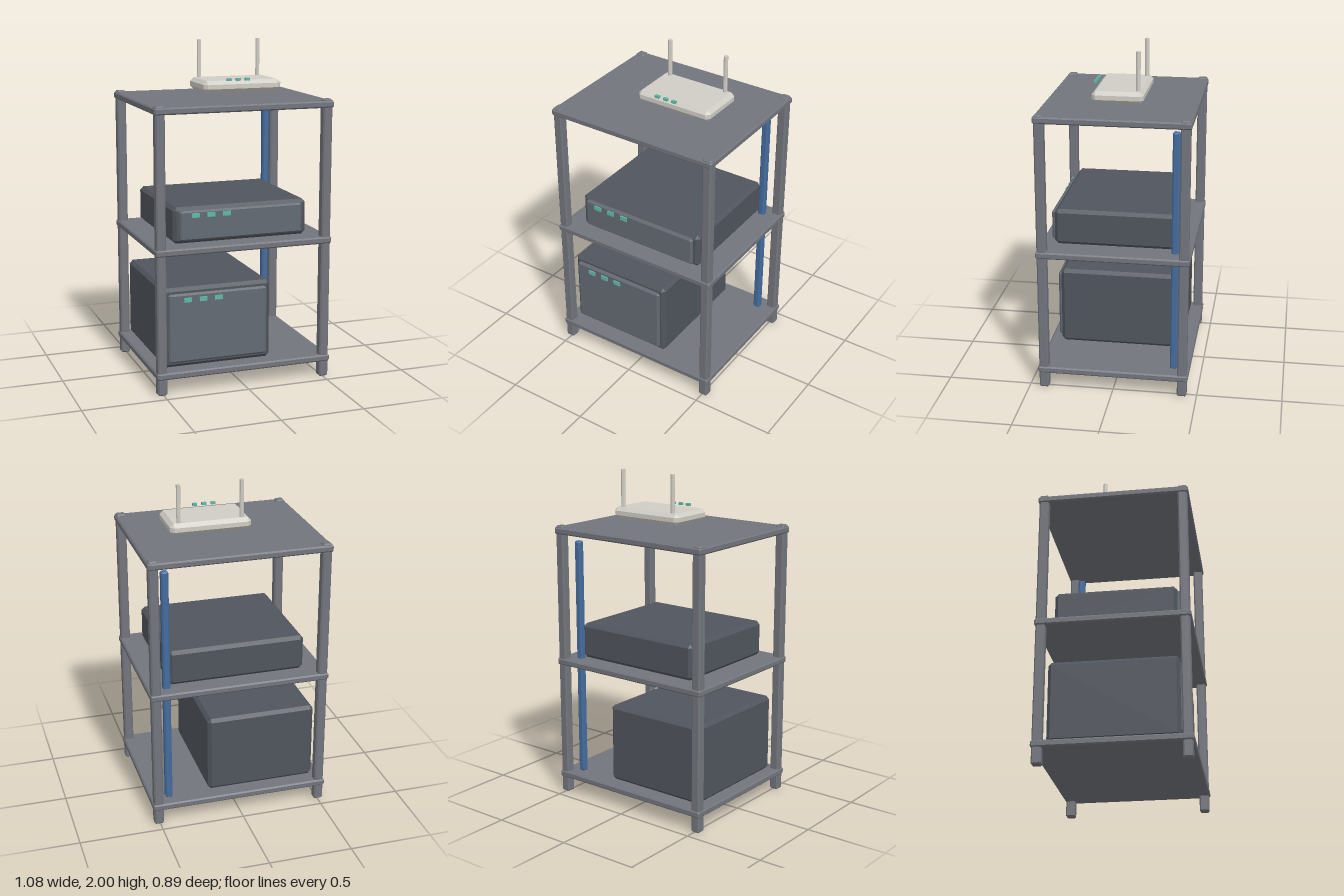
import * as THREE from 'three';
import { ConvexGeometry } from 'three/addons/geometries/ConvexGeometry.js';

const material = (color) => new THREE.MeshStandardMaterial({ color, flatShading: true });

// Box with every edge and corner cut flat by c
function chamferBox(w, h, d, c) {
  const points = [];
  for (const sx of [-1, 1]) for (const sy of [-1, 1]) for (const sz of [-1, 1]) {
    const x = w / 2, y = h / 2, z = d / 2;
    points.push(
      new THREE.Vector3(sx * x, sy * (y - c), sz * (z - c)),
      new THREE.Vector3(sx * (x - c), sy * y, sz * (z - c)),
      new THREE.Vector3(sx * (x - c), sy * (y - c), sz * z));
  }
  return new ConvexGeometry(points);
}

export function createModel() {
  const root = new THREE.Group();
  root.name = 'equipmentRack';
  const frame = material(0x72757c);
  const casing = material(0x50555d);
  const panel = material(0x636a72);
  const light = material(0x5fb8a6);
  const plastic = material(0xd0cdc5);
  const blue = material(0x456c9e);

  const add = (parent, name, geometry, mat, x, y, z) => {
    const mesh = new THREE.Mesh(geometry, mat);
    mesh.name = name;
    mesh.position.set(x, y, z);
    parent.add(mesh);
    return mesh;
  };

  // Shelves and corner posts
  const shelfGeo = chamferBox(1.08, 0.04, 0.893, 0.008);
  for (const y of [0.115, 0.845, 1.65]) add(root, 'shelf', shelfGeo, frame, 0, y, 0);
  const postGeo = chamferBox(0.056, 1.68, 0.056, 0.008);
  for (const x of [-0.506, 0.506]) for (const z of [-0.412, 0.412]) {
    add(root, 'post', postGeo, frame, x, 0.84, z);
  }

  // Cased units with a raised front panel and three indicator lights
  const addUnit = (name, { x, y, w, h, d, panelW, panelH, lightX, lightY }) => {
    const unit = new THREE.Group();
    unit.name = name;
    add(unit, 'casing', chamferBox(w, h, d, 0.02), casing, x, y, 0);
    add(unit, 'frontPanel', chamferBox(panelW, panelH, 0.04, 0.01), panel, x, y, d / 2);
    for (let i = 0; i < 3; i++) {
      add(unit, 'indicatorLight', new THREE.BoxGeometry(0.047, 0.026, 0.016), light,
        lightX + i * 0.094, lightY, d / 2 + 0.02);
    }
    root.add(unit);
  };
  addUnit('upperUnit', { x: 0, y: 0.979, w: 0.82, h: 0.213, d: 0.714,
    panelW: 0.752, panelH: 0.175, lightX: -0.284, lightY: 1.04 });
  addUnit('lowerUnit', { x: -0.15, y: 0.378, w: 0.662, h: 0.477, d: 0.744,
    panelW: 0.605, panelH: 0.412, lightX: -0.338, lightY: 0.548 });

  // Vertical cable duct at the back
  add(root, 'cableDuct', chamferBox(0.043, 1.455, 0.043, 0.009), blue, 0.427, 0.86, -0.353);

  // Router with two antennas
  const router = new THREE.Group();
  router.name = 'router';
  add(router, 'routerBody', chamferBox(0.482, 0.07, 0.296, 0.022), plastic, 0.092, 1.74, -0.001);
  const antennaGeo = new THREE.CylinderGeometry(0.013, 0.013, 0.24, 8);
  for (const x of [-0.095, 0.279]) add(router, 'antenna', antennaGeo, plastic, x, 1.88, -0.115);
  for (let i = 0; i < 3; i++) {
    add(router, 'routerLight', new THREE.BoxGeometry(0.027, 0.015, 0.017), light,
      -0.001 + i * 0.056, 1.782, 0.156);
  }
  root.add(router);
  return root;
}
